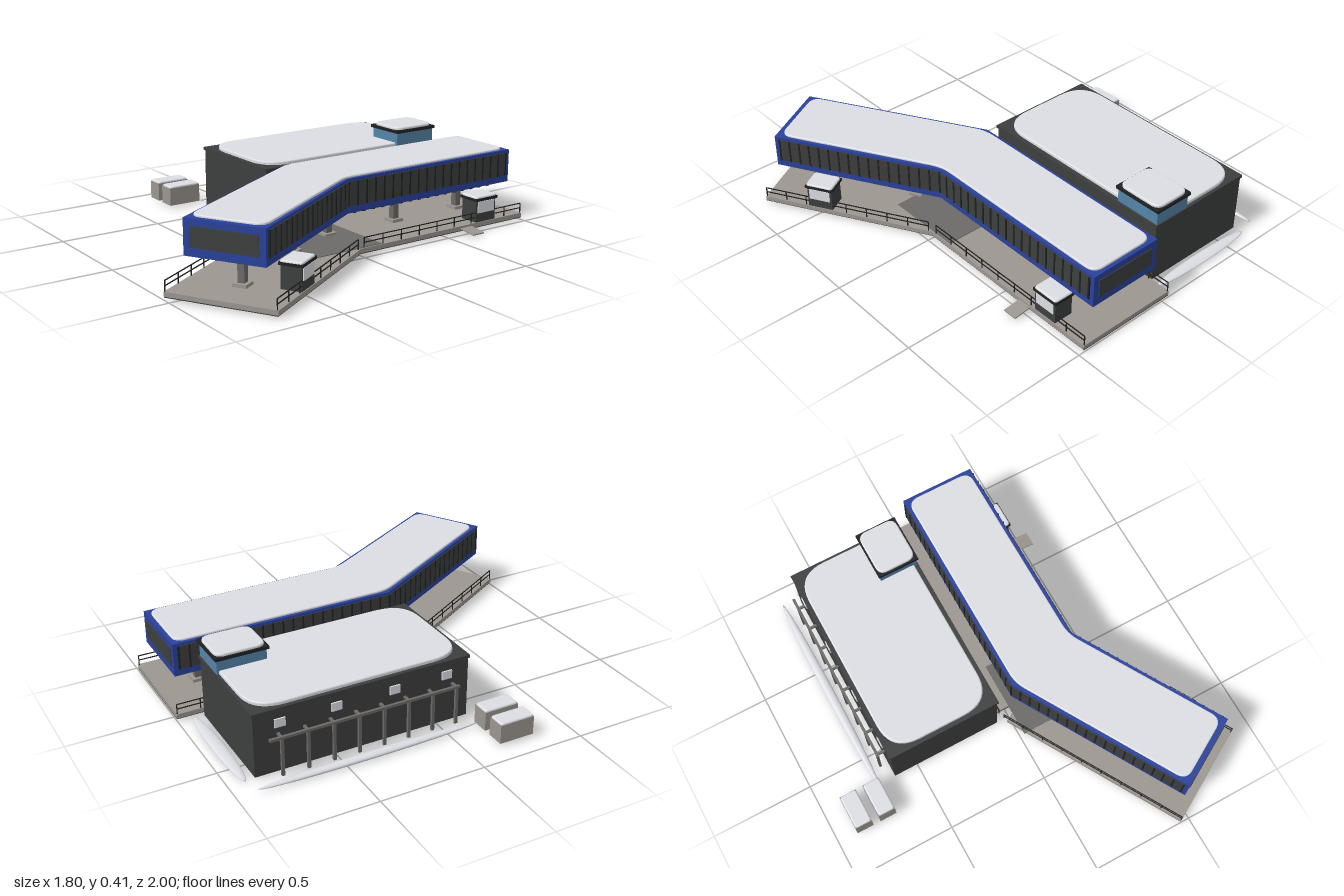
import * as THREE from 'three';

const paint = (name, color) => {
  const m = new THREE.MeshStandardMaterial({ color });
  m.name = name;
  return m;
};

export function createModel() {
  const snow = paint('snow', 0xdcdee3);
  const dark = paint('charcoal cladding', 0x3d3e3e);
  const black = paint('black trim', 0x202122);
  const blue = paint('blue cladding', 0x2a429c);
  const glass = paint('blue glass', 0x5583a8);
  const decking = paint('warm grey decking', 0x9c9690);
  const steel = paint('grey steel', 0x6b6a68);

  const root = new THREE.Group();
  root.name = 'polarStation';

  const add = (parent, name, geo, mat) => {
    const m = new THREE.Mesh(geo, mat);
    m.name = name;
    parent.add(m);
    return m;
  };
  // Box given by its low and high limits on each axis
  const box = (parent, name, mat, x0, x1, y0, y1, z0, z1) => {
    const m = add(parent, name, new THREE.BoxGeometry(x1 - x0, y1 - y0, z1 - z0), mat);
    m.position.set((x0 + x1) / 2, (y0 + y1) / 2, (z0 + z1) / 2);
    return m;
  };
  // Upright prism over [x, z] corners, with corners rounded by radius r
  const prism = (parent, name, mat, pts, y0, y1, r = 0, bevel = 0) => {
    const v = pts.map(([x, z]) => new THREE.Vector2(x, -z));
    const s = new THREE.Shape();
    v.forEach((p, i) => {
      const a = v[(i + v.length - 1) % v.length], b = v[(i + 1) % v.length];
      const p0 = p.clone().add(a.clone().sub(p).setLength(r));
      const p1 = p.clone().add(b.clone().sub(p).setLength(r));
      if (i === 0) s.moveTo(p0.x, p0.y); else s.lineTo(p0.x, p0.y);
      if (r) s.quadraticCurveTo(p.x, p.y, p1.x, p1.y);
    });
    s.closePath();
    const geo = new THREE.ExtrudeGeometry(s, {
      depth: y1 - y0 - bevel, bevelEnabled: bevel > 0, bevelThickness: bevel,
      bevelSize: bevel, bevelOffset: -bevel, bevelSegments: 3, curveSegments: 10,
    });
    geo.rotateX(-Math.PI / 2);
    const m = add(parent, name, geo, mat);
    m.position.y = y0;
    return m;
  };
  const rect = (x0, x1, z0, z1) => [[x0, z0], [x1, z0], [x1, z1], [x0, z1]];
  const snowCap = (parent, x0, x1, y0, y1, z0, z1, r) =>
    prism(parent, 'snowCap', snow, rect(x0, x1, z0, z1), y0, y1, r, 0.007);

  // Hangar hall with roof lip and snow
  const hall = new THREE.Group();
  hall.name = 'hall';
  root.add(hall);
  box(hall, 'hallWalls', dark, -0.62, -0.065, 0.01, 0.3, -0.88, 0.15);
  box(hall, 'hallRoofLip', dark, -0.625, -0.058, 0.3, 0.315, -0.886, 0.156);
  snowCap(hall, -0.605, -0.08, 0.312, 0.332, -0.87, 0.135, 0.15);
  for (const z of [-0.76, -0.5, -0.22, 0.04])
    box(hall, 'hallWindow', snow, -0.627, -0.619, 0.225, 0.265, z - 0.025, z + 0.025);

  // Glazed lookout on the hall roof
  box(hall, 'lookoutGlass', glass, -0.258, -0.066, 0.315, 0.382, -0.88, -0.647);
  box(hall, 'lookoutRoof', black, -0.267, -0.058, 0.382, 0.397, -0.888, -0.638);
  snowCap(hall, -0.26, -0.066, 0.395, 0.41, -0.88, -0.646, 0.045);

  // Pipe rack beside the hall
  box(hall, 'rackPipe', steel, -0.665, -0.652, 0.188, 0.2, -0.825, 0.085);
  for (let i = 0; i < 8; i++) {
    const z = -0.77 + i * 0.12;
    box(hall, 'rackPost', steel, -0.665, -0.653, 0.01, 0.195, z - 0.007, z + 0.007);
    box(hall, 'rackArm', steel, -0.655, -0.62, 0.188, 0.198, z - 0.006, z + 0.006);
  }

  // Wind-blown drifts
  const drift = (x, z, rx, rz, h) => {
    const m = add(root, 'snowDrift', new THREE.SphereGeometry(1, 32, 12), snow);
    m.scale.set(rx, h, rz);
    m.position.set(x, h, z);
  };
  drift(-0.34, -0.925, 0.285, 0.03, 0.009);
  drift(-0.708, -0.378, 0.023, 0.53, 0.014);

  // Storage containers
  for (const x of [-0.86, -0.74]) {
    box(root, 'container', decking, x - 0.042, x + 0.042, 0.014, 0.104, 0.145, 0.315);
    snowCap(root, x - 0.041, x + 0.041, 0.1, 0.113, 0.146, 0.314, 0.015);
  }

  // Two wings meet at the bend: one runs straight back, one turns 30 degrees forward
  const BX = 0.215, BZ = 0.07, W = 0.185;
  const wing = (name, angle, dir, length, deckStart, deckEnd, legs, hutAt) => {
    const g = new THREE.Group();
    g.name = name;
    g.position.set(BX, 0, BZ);
    g.rotation.y = angle;
    root.add(g);
    // Box in wing coordinates: s across, d outwards from the bend
    const part = (n, mat, s0, s1, y0, y1, d0, d1) => box(g, n, mat, s0, s1, y0, y1,
      Math.min(d0 * dir, d1 * dir), Math.max(d0 * dir, d1 * dir));

    // Deck and its rails
    part('deck', decking, -0.257, 0.259, 0.014, 0.035, deckStart, deckEnd);
    part('deckUnderside', dark, -0.255, 0.257, 0.01, 0.014, deckStart, deckEnd);
    for (const side of [-1, 1]) {
      const s = side * 0.252, r0 = side * 0.07 + 0.02, r1 = deckEnd - 0.004;
      for (const y of [0.06, 0.083])
        part('railBar', black, s - 0.002, s + 0.002, y - 0.002, y + 0.002, r0, r1);
      const n = Math.round((r1 - r0) / 0.11);
      for (let i = 0; i <= n; i++) {
        const d = r0 + (r1 - r0) * i / n;
        part('railPost', black, s - 0.002, s + 0.002, 0.035, 0.083, d - 0.002, d + 0.002);
      }
      // Dark window wall with ribs
      const d0 = side * 0.05, d1 = length - 0.025, x0 = side * W, x1 = side * (W + 0.004);
      part('windowBand', dark, Math.min(x0, x1), Math.max(x0, x1), 0.218, 0.332, d0, d1);
      const ribs = Math.round((d1 - d0) / 0.05);
      for (let i = 0; i <= ribs; i++) {
        const d = d0 + (d1 - d0) * i / ribs, c = side * (W + 0.003);
        part('windowRib', black, c - 0.004, c + 0.004, 0.218, 0.332, d - 0.004, d + 0.004);
      }
    }
    part('endWindow', dark, -0.155, 0.155, 0.224, 0.314, length, length + 0.004);

    // Floor frame, joists and legs
    part('floorFrame', dark, -0.15, 0.15, 0.176, 0.187, 0, length - 0.06);
    for (let d = 0.06; d < length - 0.06; d += 0.055)
      part('joist', black, -0.15, 0.15, 0.169, 0.178, d - 0.008, d + 0.008);
    for (const d of legs) {
      part('leg', steel, -0.016, 0.016, 0.035, 0.178, d - 0.016, d + 0.016);
      part('legHead', steel, -0.07, 0.07, 0.164, 0.178, d - 0.018, d + 0.018);
      part('legFoot', decking, -0.032, 0.032, 0.035, 0.05, d - 0.032, d + 0.032);
    }

    // Small entrance hut
    const hut = new THREE.Group();
    hut.name = 'hut';
    hut.position.set(0.207, 0, hutAt * dir);
    g.add(hut);
    box(hut, 'hutWalls', dark, -0.048, 0.048, 0.035, 0.14, -0.062, 0.062);
    box(hut, 'hutRoof', black, -0.055, 0.055, 0.14, 0.153, -0.07, 0.07);
    snowCap(hut, -0.052, 0.052, 0.15, 0.162, -0.067, 0.067, 0.016);
    for (const s of [-1, 1])
      box(hut, 'hutPanel', snow, s * 0.049 - 0.003, s * 0.049 + 0.003, 0.08, 0.136, -0.052, 0.052);
  };
  wing('rearWing', 0, -1, 1.04, -0.04, 1.07, [0.07, 0.47, 0.87], 0.83);
  wing('frontWing', Math.PI / 6, 1, 0.88, -0.03, 0.925, [0.245, 0.725], 0.637);

  // Continuous bent hull and its snow roof, inset from the hull edge
  const bent = (w, endA, endB) => {
    const t = w * Math.tan(Math.PI / 12);
    const P = (s, d) => [BX + 0.866 * s + 0.5 * d, BZ - 0.5 * s + 0.866 * d];
    return [[BX - w, BZ - endA], [BX + w, BZ - endA], [BX + w, BZ - t],
      P(w, endB), P(-w, endB), [BX - w, BZ + t]];
  };
  prism(root, 'hull', blue, bent(W, 1.04, 0.88), 0.185, 0.345);
  prism(root, 'roofSnow', snow, bent(W - 0.016, 1.022, 0.855), 0.342, 0.355, 0.055, 0.006);

  // Landing plate under the bend and the side ramp
  box(root, 'landingPlate', steel, 0.02, 0.467, 0.03, 0.038, -0.12, 0.27);
  const ramp = box(root, 'ramp', decking, 0.472, 0.56, 0.014, 0.02, -0.67, -0.6);
  ramp.rotation.z = -0.12;

  return root;
}
